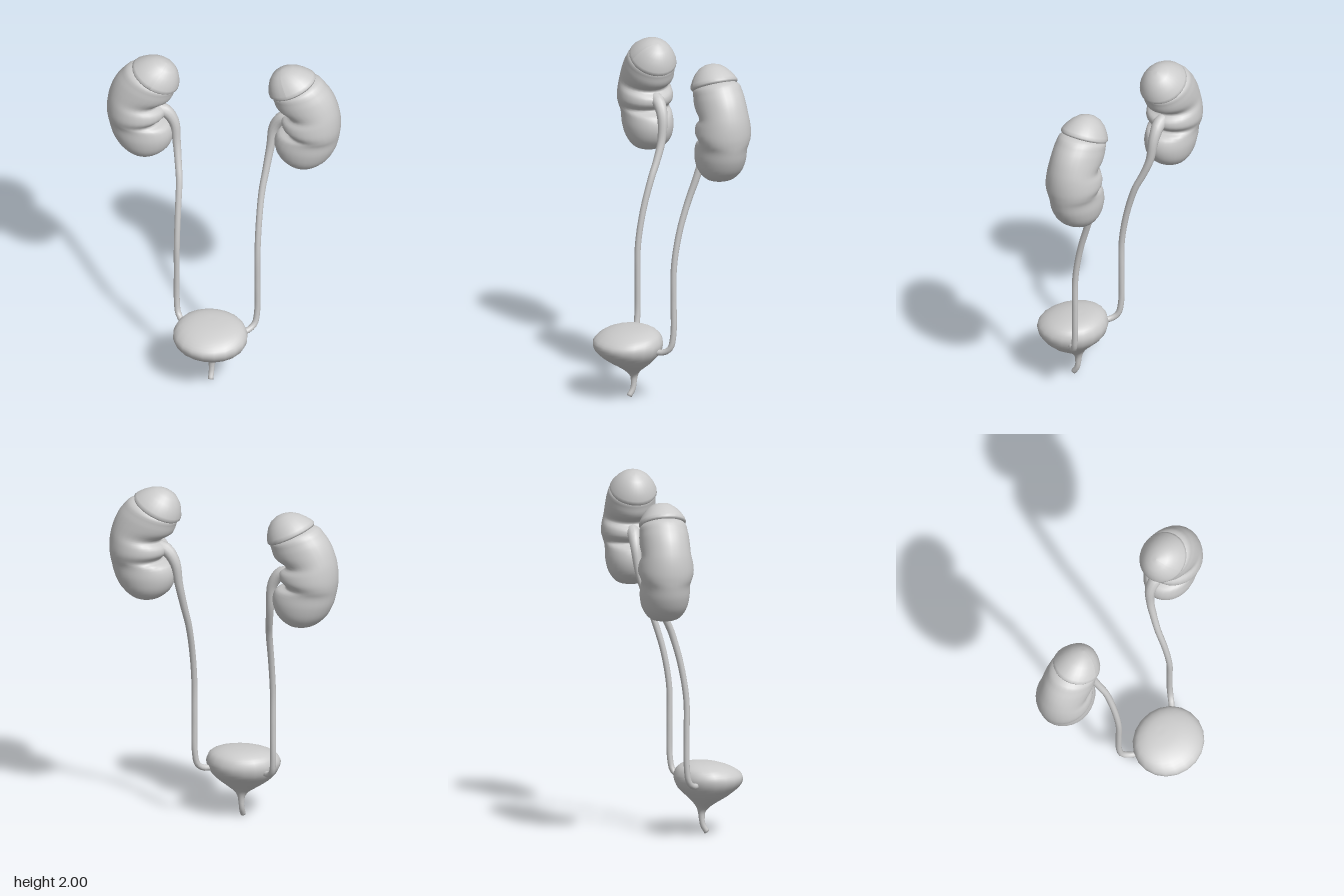
import * as THREE from 'three';
import { mergeVertices } from 'three/addons/utils/BufferGeometryUtils.js';

const V = (x, y, z = 0) => new THREE.Vector3(x, y, z);

// Smooth skin over closed rings of points
function loft(rings) {
  const n = rings[0].length, pos = [], idx = [];
  rings.forEach(r => r.forEach(p => pos.push(p.x, p.y, p.z)));
  for (let i = 0; i < rings.length - 1; i++) {
    for (let j = 0; j < n; j++) {
      const a = i * n + j, b = i * n + (j + 1) % n, c = a + n, d = b + n;
      idx.push(a, c, b, b, c, d);
    }
  }
  let g = new THREE.BufferGeometry();
  g.setAttribute('position', new THREE.Float32BufferAttribute(pos, 3));
  g.setIndex(idx);
  g = mergeVertices(g, 1e-5);
  g.computeVertexNormals();
  return g;
}

const ring = (n, f) => Array.from({ length: n }, (_, j) => {
  const t = j / n * Math.PI * 2;
  return f(Math.cos(t), Math.sin(t));
});

// Tube with a radius that changes along its path, closed at both ends
function taperedTube(points, steps, sides, radius) {
  const curve = new THREE.CatmullRomCurve3(points);
  const { normals, binormals } = curve.computeFrenetFrames(steps, false);
  const rings = [];
  const add = (i, r) => {
    const p = curve.getPointAt(i / steps);
    rings.push(ring(sides, (c, s) => p.clone()
      .addScaledVector(normals[i], c * r).addScaledVector(binormals[i], -s * r)));
  };
  add(0, 0);
  for (let i = 0; i <= steps; i++) add(i, radius(i / steps));
  add(steps, 0);
  return loft(rings);
}

// Bean body: outer x, outer y, inner x, inner y, half depth
function kidneyGeometry() {
  const rows = [
    [0.455, 1.345, 0.455, 1.345, 0],
    [0.53, 1.362, 0.38, 1.36, 0.075],
    [0.595, 1.415, 0.315, 1.415, 0.12],
    [0.635, 1.485, 0.29, 1.49, 0.137],
    [0.653, 1.55, 0.308, 1.558, 0.136],
    [0.661, 1.595, 0.37, 1.585, 0.141],
    [0.665, 1.64, 0.335, 1.625, 0.154],
    [0.662, 1.70, 0.335, 1.665, 0.150],
    [0.65, 1.76, 0.37, 1.70, 0.137],
    [0.625, 1.83, 0.308, 1.74, 0.138],
    [0.585, 1.89, 0.285, 1.79, 0.134],
    [0.53, 1.935, 0.285, 1.84, 0.115],
    [0.40, 1.93, 0.40, 1.93, 0],
  ];
  const outer = new THREE.CatmullRomCurve3(rows.map(r => V(r[0], r[1], r[4])), false, 'catmullrom');
  const inner = new THREE.CatmullRomCurve3(rows.map(r => V(r[2], r[3])), false, 'catmullrom');
  const rings = [], steps = 48;
  for (let i = 0; i <= steps; i++) {
    const o = outer.getPoint(i / steps), q = inner.getPoint(i / steps);
    const cx = (o.x + q.x) / 2, cy = (o.y + q.y) / 2;
    rings.push(ring(28, (c, s) => V(cx + c * (o.x - q.x) / 2, cy + c * (o.y - q.y) / 2, s * o.z)));
  }
  return loft(rings);
}

// Domed gland with a rim, leaning slightly to its inner side
function glandGeometry() {
  const profile = [[0, -0.012], [0.12, -0.012], [0.138, -0.008], [0.145, 0.003], [0.14, 0.02],
    [0.122, 0.05], [0.098, 0.08], [0.065, 0.106], [0.03, 0.118], [0, 0.121]];
  const g = new THREE.LatheGeometry(profile.map(p => new THREE.Vector2(...p)), 28);
  const p = g.attributes.position;
  for (let i = 0; i < p.count; i++) {
    p.setX(i, p.getX(i) - 0.1 * Math.max(0, p.getY(i)));
    p.setZ(i, p.getZ(i) * 0.91);
  }
  g.computeVertexNormals();
  return g;
}

// Bladder: y, half width, back z, front z
function bladderGeometry() {
  const rows = [
    [0.085, 0.017, 0.098, 0.132], [0.12, 0.021, 0.093, 0.135], [0.15, 0.042, 0.083, 0.16],
    [0.18, 0.088, 0.062, 0.20], [0.22, 0.148, 0.022, 0.265], [0.265, 0.19, -0.022, 0.322],
    [0.305, 0.208, -0.04, 0.345], [0.34, 0.205, -0.04, 0.335], [0.375, 0.178, -0.022, 0.282],
    [0.398, 0.12, 0.015, 0.21], [0.407, 0.05, 0.06, 0.14], [0.408, 0, 0.1, 0.1],
  ];
  const size = new THREE.CatmullRomCurve3(rows.map(r => V(r[1], r[0], (r[3] - r[2]) / 2)));
  const mid = new THREE.CatmullRomCurve3(rows.map(r => V(0, r[0], (r[3] + r[2]) / 2)), false, 'catmullrom');
  size.curveType = 'catmullrom';
  const rings = [], steps = 33;
  for (let i = 0; i <= steps; i++) {
    const h = size.getPoint(i / steps), m = mid.getPoint(i / steps);
    const w = i === steps ? 0 : 1;
    rings.push(ring(20, (c, s) => V(c * h.x * w, h.y, m.z + s * h.z * w)));
  }
  return loft(rings);
}

export function createModel() {
  const model = new THREE.Group();
  const tissue = new THREE.MeshStandardMaterial({ color: 0xcccccc });
  tissue.name = 'grey tissue';
  const add = (parent, name, geometry) => {
    const m = new THREE.Mesh(geometry, tissue);
    m.name = name;
    parent.add(m);
    return m;
  };

  const kidney = kidneyGeometry(), gland = glandGeometry();
  for (const [side, sx, dy] of [['left', 1, 0], ['right', -1, -0.065]]) {
    const half = new THREE.Group();
    half.name = side + 'Side';
    half.scale.x = sx;
    model.add(half);

    add(half, side + 'Kidney', kidney).position.set(0, dy, -0.195);
    const cap = add(half, side + 'AdrenalGland', gland);
    cap.position.set(0.393, 1.885 + dy, -0.192);
    cap.rotation.z = 0.47;

    // Ureter from the kidney's hollow down to the back of the bladder
    const path = [
      V(0.41, 1.65 + dy, -0.2), V(0.34, 1.648 + dy, -0.2), V(0.288, 1.58 + dy, -0.2),
      V(0.267, 1.44 + dy, -0.185), V(0.25, 1.3 + dy * 0.5, -0.147), V(0.236, 1.18, -0.108),
      V(0.231, 1.0, -0.055), V(0.23, 0.8, -0.022), V(0.23, 0.6, -0.02),
      V(0.229, 0.4, -0.018), V(0.218, 0.325, -0.004), V(0.19, 0.298, 0.025), V(0.15, 0.295, 0.06),
    ];
    add(half, side + 'Ureter', taperedTube(path, 64, 12, u => 0.017 + 0.03 * Math.exp(-u / 0.13)));
  }

  add(model, 'bladder', bladderGeometry());
  add(model, 'urethra', taperedTube(
    [V(0, 0.11, 0.114), V(0, 0.08, 0.115), V(0, 0.045, 0.122), V(0, 0.008, 0.144)], 10, 12, () => 0.0155));
  return model;
}
